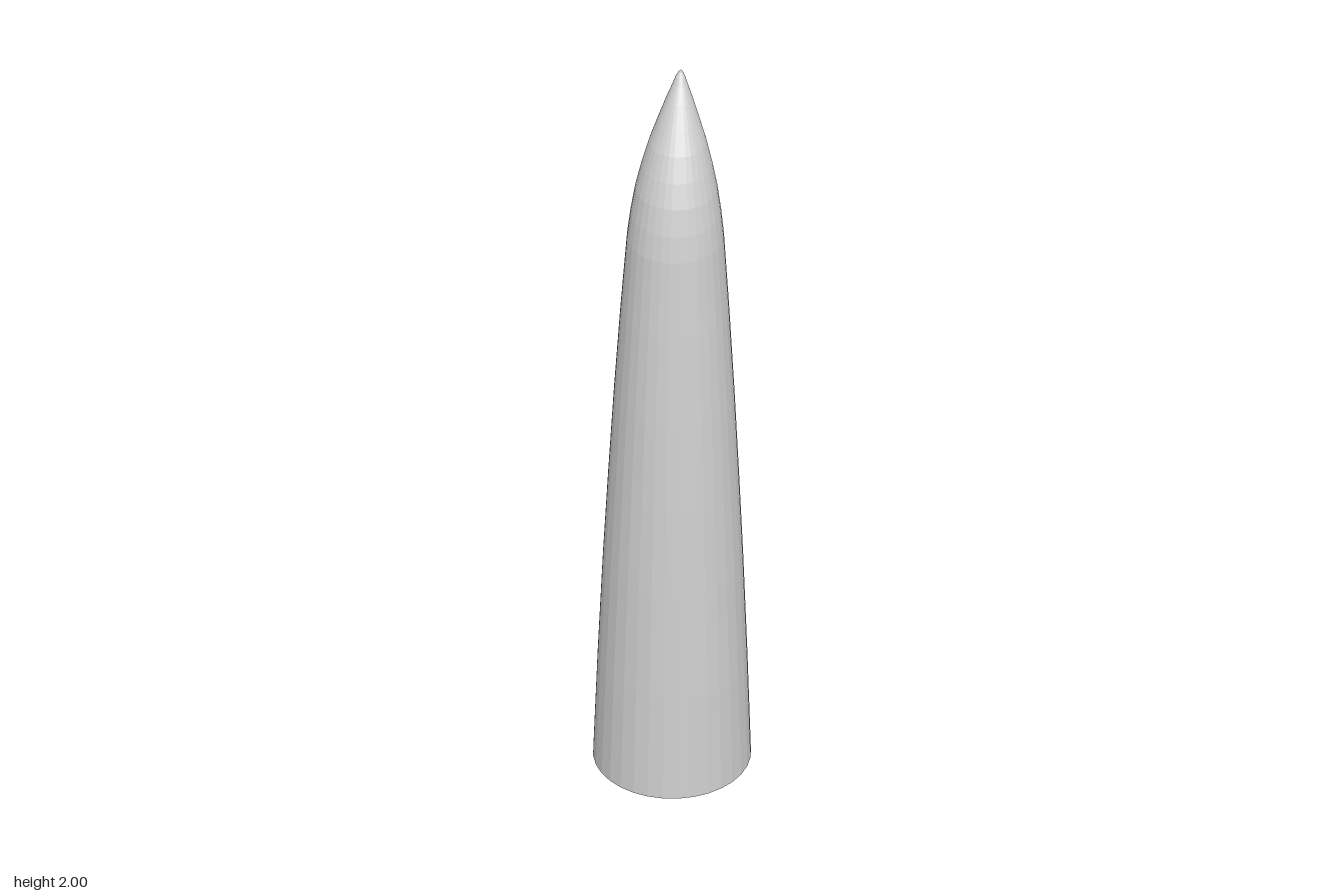
import * as THREE from 'three';

export function createModel() {
  const group = new THREE.Group();
  const material = new THREE.MeshStandardMaterial({ color: 0xcccccc, flatShading: true });

  // Radius and height: base disc, gently tapering shaft, ogival nose
  const profile = [
    [0, 0], [0.2, 0], [0.19, 0.3], [0.178, 0.6], [0.166, 0.85], [0.153, 1.1],
    [0.138, 1.35], [0.123, 1.57], [0.115, 1.64], [0.104, 1.71], [0.09, 1.77],
    [0.073, 1.83], [0.053, 1.885], [0.034, 1.935], [0.019, 1.97],
    [0.012, 1.988], [0.006, 1.997], [0, 2],
  ].map(([r, y]) => new THREE.Vector2(r, y));
  const sides = 32;
  const geometry = new THREE.LatheGeometry(profile, sides);

  // Slide every ring backwards so that the back edge stays vertical
  const position = geometry.attributes.position;
  for (let i = 0; i < position.count; i++) {
    const ring = profile[i % profile.length];
    const isBaseCentre = i % profile.length === 0;
    position.setZ(i, position.getZ(i) + (isBaseCentre ? 0 : ring.x - 0.2));
  }
  geometry.computeVertexNormals();

  const spike = new THREE.Mesh(geometry, material);
  spike.name = 'taperedSpike';
  group.add(spike);
  return group;
}
